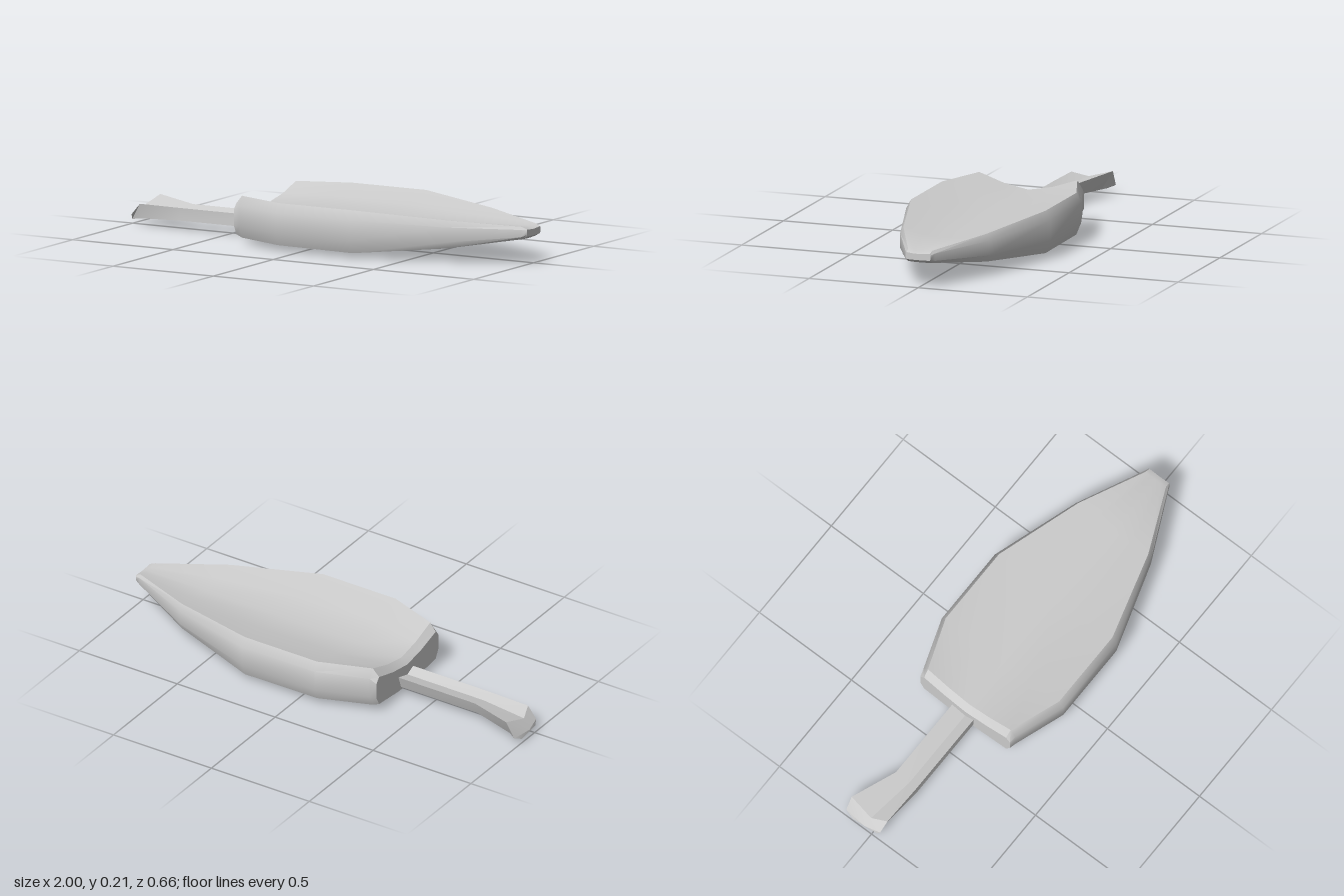
import * as THREE from 'three';
import { toCreasedNormals } from 'three/addons/utils/BufferGeometryUtils.js';

// Skin closed rings of [x, y, z] (ordered by rising x) and cap both ends
function loft(rings, crease) {
  const pos = [];
  const n = rings[0].length;
  const tri = (a, b, c) => pos.push(...a, ...b, ...c);
  for (let i = 0; i < rings.length - 1; i++) {
    for (let j = 0; j < n; j++) {
      const k = (j + 1) % n;
      const [r, s] = [rings[i], rings[i + 1]];
      tri(r[j], r[k], s[j]);
      tri(r[k], s[k], s[j]);
    }
  }
  const cap = (ring, start) => {
    const c = [0, 1, 2].map((a) => ring.reduce((sum, p) => sum + p[a], 0) / n);
    for (let j = 0; j < n; j++) {
      const k = (j + 1) % n;
      if (start) tri(c, ring[k], ring[j]);
      else tri(c, ring[j], ring[k]);
    }
  };
  cap(rings[0], true);
  cap(rings[rings.length - 1], false);
  const geo = new THREE.BufferGeometry();
  geo.setAttribute('position', new THREE.Float32BufferAttribute(pos, 3));
  return toCreasedNormals(geo, crease);
}

// Symmetric body section: trough on top, bevelled sides, shallow keel
function bodyRing({ x, rim, side, top, upper, lower, bottom, trough, keel }) {
  const half = [
    [rim * 0.5, trough + (top - trough) * 0.36],
    [rim, top],
    [side, upper],
    [side, lower],
    [rim, bottom],
    [rim * 0.33, keel],
  ];
  const left = half.map(([z, y]) => [x, y, z]);
  const right = half.map(([z, y]) => [x, y, -z]).reverse();
  return [[x, trough, 0], ...left, [x, keel, 0], ...right];
}

export function createModel() {
  const group = new THREE.Group();
  const material = new THREE.MeshStandardMaterial({ color: 0xcccccc });
  const add = (name, geo) => {
    const mesh = new THREE.Mesh(geo, material);
    mesh.name = name;
    group.add(mesh);
  };

  // Broad troughed body, tapering to a blunt tip
  const stations = [
    { x: -0.35, rim: 0.222, side: 0.243, top: 0.175, upper: 0.15, lower: 0.08, bottom: 0.04, trough: 0.125, keel: 0.025 },
    { x: -0.32, rim: 0.225, side: 0.25, top: 0.21, upper: 0.17, lower: 0.08, bottom: 0.028, trough: 0.15, keel: 0 },
    { x: -0.09, rim: 0.308, side: 0.33, top: 0.21, upper: 0.17, lower: 0.08, bottom: 0.027, trough: 0.15, keel: 0 },
    { x: 0.28, rim: 0.308, side: 0.33, top: 0.21, upper: 0.17, lower: 0.08, bottom: 0.024, trough: 0.15, keel: 0 },
    { x: 0.68, rim: 0.19, side: 0.205, top: 0.184, upper: 0.155, lower: 0.09, bottom: 0.062, trough: 0.15, keel: 0.055 },
    { x: 0.975, rim: 0.056, side: 0.067, top: 0.162, upper: 0.15, lower: 0.118, bottom: 0.108, trough: 0.155, keel: 0.106 },
    { x: 1, rim: 0.053, side: 0.057, top: 0.152, upper: 0.146, lower: 0.128, bottom: 0.122, trough: 0.148, keel: 0.121 },
  ];
  add('body', loft(stations.map(bodyRing), 0.62));

  // Grooved handle, flaring sideways to a slanted end
  const stem = (x) => [[x, 0.075, 0], [x, 0.095, 0.045], [x, 0.04, 0.045], [x, 0.038, -0.05], [x, 0.095, -0.07]];
  const flare = [[-0.965, 0.075, -0.03], [-0.94, 0.095, 0.04], [-0.94, 0.03, 0.025], [-0.94, 0.028, -0.1], [-0.95, 0.11, -0.147]];
  const end = [[-1, 0.035, -0.04], [-0.985, 0.045, 0.035], [-0.99, 0.022, 0.02], [-1, 0.02, -0.1], [-0.99, 0.04, -0.145]];
  add('handle', loft([end, flare, stem(-0.74), stem(-0.31)], 0.35));

  return group;
}
